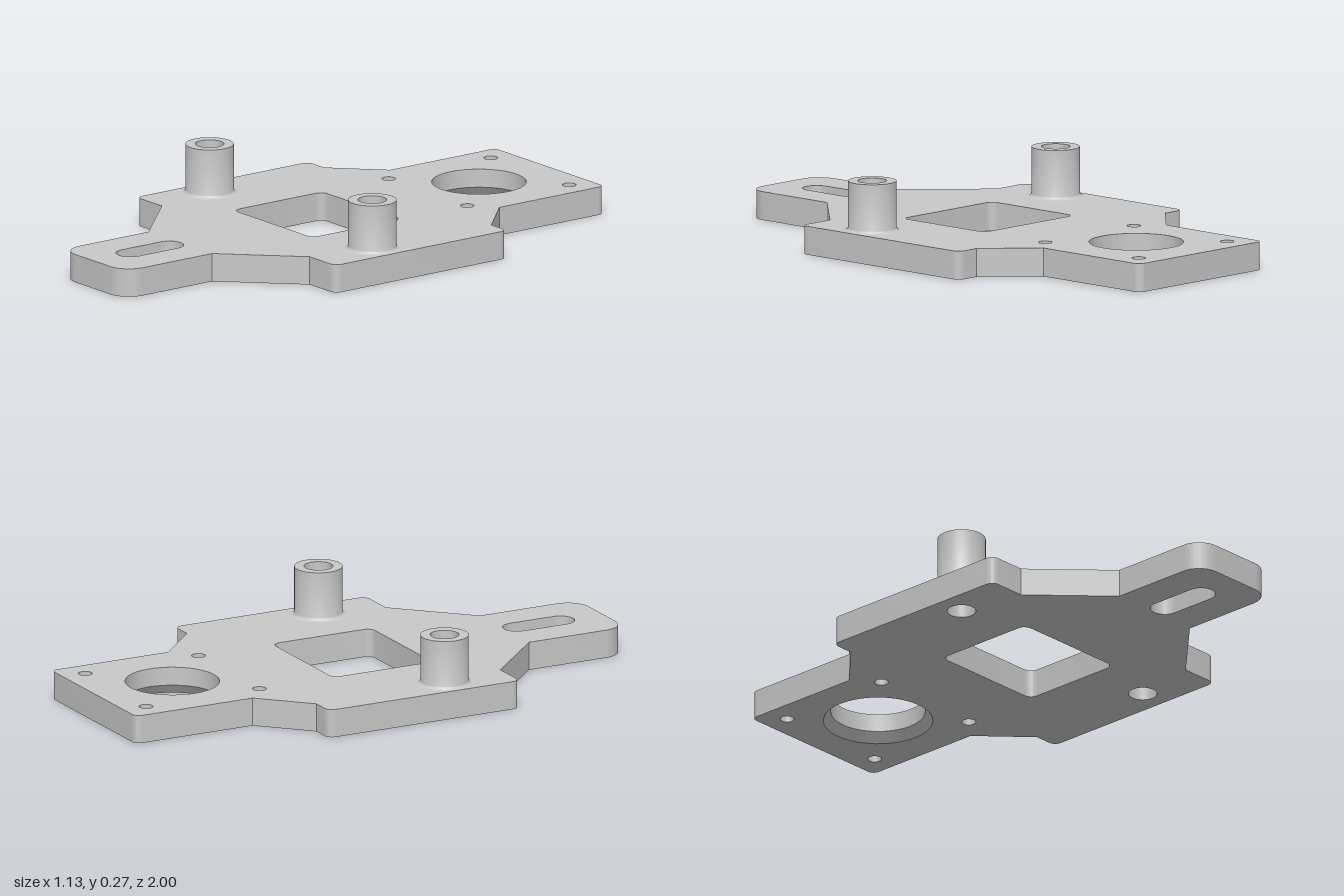
import * as THREE from 'three';
import { toCreasedNormals } from 'three/addons/utils/BufferGeometryUtils.js';

const THICK = 0.1;
const BORE_Z = -0.69;
const BOSS = { x: 0.462, z: 0.133, inner: 0.05, outer: 0.084, top: 0.274 };

// Closed outline from [x, z, cornerRadius] points; shape y is -z
function roundedOutline(points, path) {
  const n = points.length;
  const v = points.map(([x, z]) => new THREE.Vector2(x, -z));
  const toward = (a, b, d) => b.clone().sub(a).setLength(d).add(a);
  for (let i = 0; i < n; i++) {
    const p = v[i], r = points[i][2] || 0;
    const prev = v[(i + n - 1) % n], next = v[(i + 1) % n];
    const a = r ? toward(p, prev, r) : p;
    if (i === 0) path.moveTo(a.x, a.y);
    else path.lineTo(a.x, a.y);
    if (r) {
      const b = toward(p, next, r);
      const c1 = a.clone().lerp(p, 0.5523), c2 = b.clone().lerp(p, 0.5523);
      path.bezierCurveTo(c1.x, c1.y, c2.x, c2.y, b.x, b.y);
    }
  }
  path.closePath();
  return path;
}

function rectHole(x, z0, z1, r) {
  return roundedOutline([[-x, z0, r], [x, z0, r], [x, z1, r], [-x, z1, r]], new THREE.Path());
}

function roundHole(x, z, r) {
  return new THREE.Path().absarc(x, -z, r, 0, Math.PI * 2, true);
}

function lathe(profile, segments) {
  const points = profile.map(([r, y]) => new THREE.Vector2(r, y));
  return toCreasedNormals(new THREE.LatheGeometry(points, segments), 0.5);
}

export function createModel() {
  const group = new THREE.Group();
  group.name = 'mountingBracket';
  const grey = new THREE.MeshStandardMaterial({ color: 0xc8c8c8 });
  grey.name = 'grey';

  const add = (name, geometry, x = 0, z = 0) => {
    const mesh = new THREE.Mesh(geometry, grey);
    mesh.name = name;
    mesh.position.set(x, 0, z);
    group.add(mesh);
  };

  // Base plate: left side of the outline from back to front, then its mirror,
  // running counter-clockwise so the walls of the openings face inward
  const half = [
    [0.31, -1, 0.025], [0.31, -0.54], [0.475, -0.378], [0.565, -0.378, 0.028],
    [0.565, 0.375, 0.028], [0.42, 0.375], [0.18, 0.617], [0.18, 1, 0.08],
  ];
  const mirrored = half.map(([x, z, r]) => [-x, z, r]);
  const shape = roundedOutline([...mirrored, ...half.reverse()], new THREE.Shape());

  // Openings: window, slot, large bore, screw holes and boss holes
  shape.holes.push(
    rectHole(0.225, -0.178, 0.213, 0.03),
    rectHole(0.05, 0.616, 0.886, 0.05),
    roundHole(0, BORE_Z, 0.19),
  );
  for (const side of [-1, 1]) {
    for (const z of [-0.913, -0.467]) shape.holes.push(roundHole(side * 0.223, z, 0.024));
    shape.holes.push(roundHole(side * BOSS.x, BOSS.z, BOSS.inner));
  }
  const plate = new THREE.ExtrudeGeometry(shape, { depth: THICK, bevelEnabled: false, curveSegments: 24 });
  plate.rotateX(-Math.PI / 2);
  add('basePlate', toCreasedNormals(plate, 0.5));

  // Rim of the large bore, flared on the underside
  add('boreRim', lathe([[0.19, THICK], [0.164, THICK], [0.164, 0.035], [0.19, 0]], 48), 0, BORE_Z);

  // Hollow bosses with a small fillet at the foot
  const fillet = 0.015;
  const profile = [];
  for (let i = 0; i <= 5; i++) {
    const a = (i / 5) * Math.PI / 2;
    profile.push([
      BOSS.outer + fillet * (1 - Math.sin(a)),
      THICK + fillet * (1 - Math.cos(a)),
    ]);
  }
  profile.push([BOSS.outer, BOSS.top], [BOSS.inner, BOSS.top], [BOSS.inner, THICK]);
  const boss = lathe(profile, 48);
  add('leftBoss', boss, BOSS.x, BOSS.z);
  add('rightBoss', boss, -BOSS.x, BOSS.z);

  return group;
}
